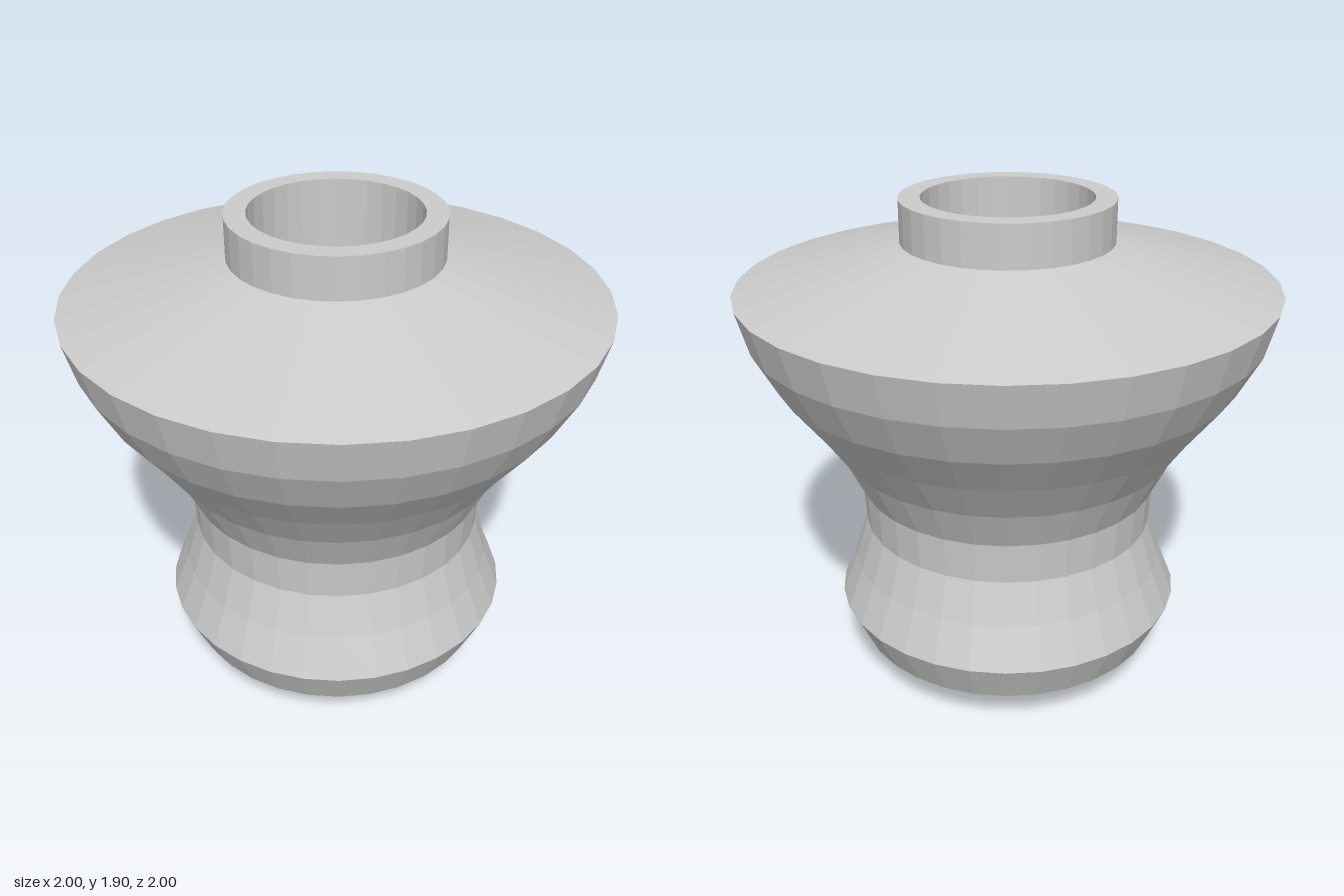
import * as THREE from 'three';

const SEGMENTS = 32;

export function createModel() {
  const group = new THREE.Group();
  group.name = 'vase';
  const material = new THREE.MeshStandardMaterial({ color: 0xcccccc, flatShading: true });

  const addLathe = (name, profile) => {
    const points = profile.map(([r, y]) => new THREE.Vector2(r, y));
    const mesh = new THREE.Mesh(new THREE.LatheGeometry(points, SEGMENTS), material);
    mesh.name = name;
    group.add(mesh);
  };

  // Flat base, bulging foot, narrow waist and flared body
  addLathe('body', [
    [0, 0], [0.394, 0], [0.605, 0.158], [0.678, 0.317], [0.615, 0.475],
    [0.565, 0.634], [0.575, 0.792], [0.65, 0.95], [0.757, 1.109],
    [0.875, 1.267], [0.958, 1.425], [1, 1.584],
  ]);

  // Sloping shoulder
  addLathe('shoulder', [[1, 1.584], [0.394, 1.742]]);

  // Upright neck with a flat rim
  addLathe('neck', [[0.394, 1.742], [0.394, 1.9], [0.315, 1.9]]);

  // Straight bore with a flat floor
  addLathe('bore', [[0.315, 1.9], [0.315, 0.158], [0, 0.158]]);

  return group;
}
